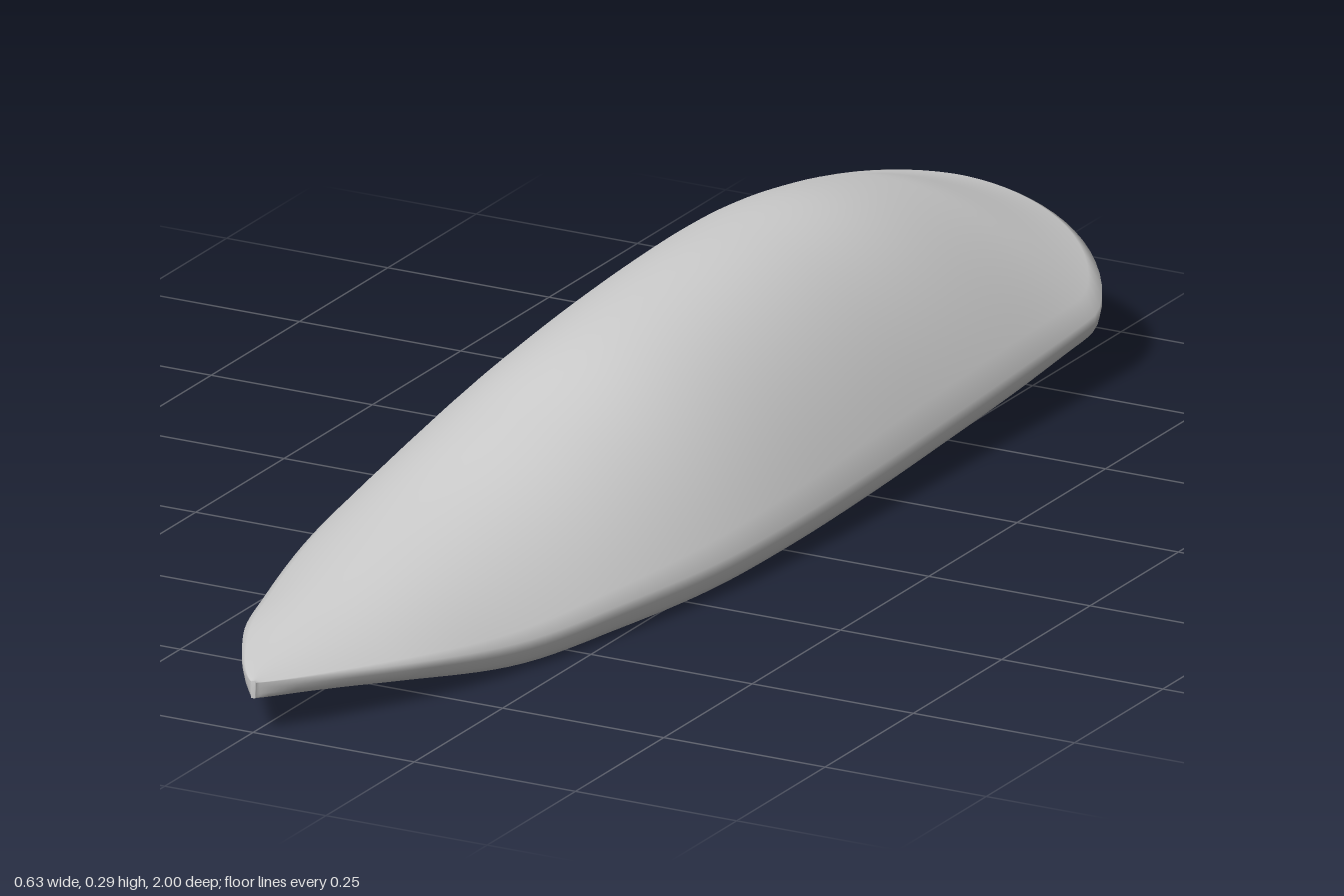
import * as THREE from 'three';

// Smooth profile through values spaced evenly from the tip (z = 1) to the back (z = -1)
function profile(values) {
  const curve = new THREE.SplineCurve(values.map((v, i) => new THREE.Vector2(i, v)));
  return z => curve.getPoint(THREE.MathUtils.clamp((1 - z) / 2, 0, 1)).y;
}

const crest = profile([0.075, 0.095, 0.125, 0.16, 0.205, 0.25, 0.275, 0.286, 0.28, 0.243, 0.185]);
const rimBase = profile([0.05, 0.03, 0.003, 0.002, 0.003, 0.01, 0.019, 0.03, 0.043, 0.058, 0.065]);
const sideWidth = profile([0, 0.125, 0.2, 0.25, 0.285, 0.302, 0.309, 0.312, 0.315, 0.315, 0.315]);
const rimHeight = profile([0.022, 0.028, 0.038, 0.042, 0.043, 0.043, 0.043, 0.042, 0.04, 0.036, 0.05]);
const hollow = profile([0, 0.018, 0.042, 0.047, 0.048, 0.048, 0.048, 0.045, 0.04, 0.035, 0.005]);

const ROWS = 90, ACROSS = 28;

// Closed cross-section: arched top, rounded rim, shallow hollow underside, rounded rim
function section(z) {
  const full = z > 0.8 ? 0.125 * ((1 - z) / 0.2) ** 0.8 : sideWidth(z);
  const back = Math.max(0, (-0.8 - z) / 0.2);
  const w = Math.max(full * Math.max(0, 1 - back * back) ** 0.6, 0.004);
  const t = rimHeight(z), c = crest(z), side = Math.min(rimBase(z) + t, c - 0.002);
  const top = x => c - (c - side) * (x / Math.max(full, w)) ** 2;
  const r = Math.min(0.035, w * 0.4), edge = top(w);
  const rim = [
    [w, edge - 0.35 * t],
    [w - 0.1 * r, edge - 0.7 * t],
    [w - 0.3 * r, edge - 0.92 * t],
    [w - 0.6 * r, edge - t],
  ];
  const points = [];
  for (let i = 0; i <= ACROSS; i++) {
    const x = w * (2 * i / ACROSS - 1);
    points.push([x, top(x)]);
  }
  points.push(...rim);
  for (let i = 0; i <= ACROSS; i++) {
    const u = 1 - 2 * i / ACROSS;
    points.push([(w - r) * u, edge - t + hollow(z) * (1 - Math.abs(u) ** 3)]);
  }
  points.push(...rim.map(([x, y]) => [-x, y]).reverse());
  return points;
}

function shellGeometry() {
  const positions = [], index = [];
  let n = 0;
  for (let i = 0; i <= ROWS; i++) {
    const z = Math.cos(Math.PI * i / ROWS);
    const points = section(z);
    n = points.length;
    points.forEach(([x, y]) => positions.push(x, Math.max(y, 0), z));
  }
  for (let i = 0; i < ROWS; i++) {
    for (let j = 0; j < n; j++) {
      const k = (j + 1) % n;
      const a = i * n + j, b = i * n + k, c = a + n, d = b + n;
      index.push(a, b, c, b, d, c);
    }
  }
  // Small caps at the tip and the back
  const front = positions.length / 3;
  positions.push(0, crest(1) - rimHeight(1) / 2, 1);
  positions.push(0, crest(-1) - rimHeight(-1) / 2, -1);
  for (let j = 0; j < n; j++) {
    const k = (j + 1) % n;
    index.push(front, k, j, front + 1, ROWS * n + j, ROWS * n + k);
  }
  const geometry = new THREE.BufferGeometry();
  geometry.setAttribute('position', new THREE.Float32BufferAttribute(positions, 3));
  geometry.setIndex(index);
  geometry.computeVertexNormals();
  return geometry;
}

export function createModel() {
  const group = new THREE.Group();
  group.name = 'pointedShell';
  const material = new THREE.MeshStandardMaterial({ color: 0xcccccc });
  const shell = new THREE.Mesh(shellGeometry(), material);
  shell.name = 'curvedShell';
  group.add(shell);
  return group;
}
